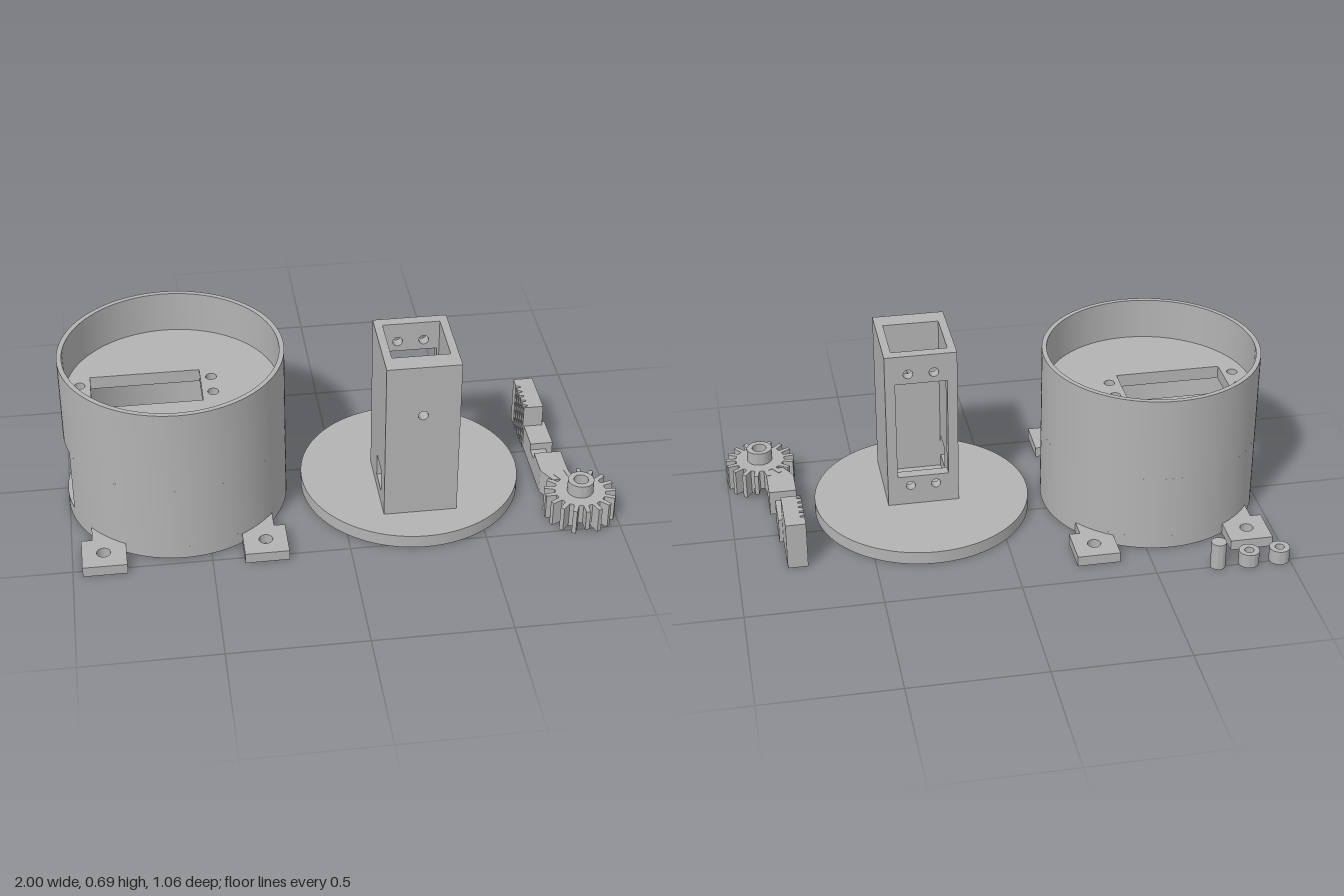
import * as THREE from 'three';
import { toCreasedNormals } from 'three/addons/utils/BufferGeometryUtils.js';

export function createModel() {
  const model = new THREE.Group();
  const grey = new THREE.MeshStandardMaterial({ color: 0xb3b3b3 });
  grey.name = 'plain grey';

  const group = (name, x = 0, z = 0) => {
    const g = new THREE.Group();
    g.name = name;
    g.position.set(x, 0, z);
    model.add(g);
    return g;
  };
  const add = (parent, name, geo) => {
    const m = new THREE.Mesh(geo, grey);
    m.name = name;
    parent.add(m);
    return m;
  };
  const poly = (pts) => new THREE.Shape(pts.map((p) => new THREE.Vector2(p[0], p[1])));
  const rect = (x0, x1, y0, y1) => poly([[x0, y0], [x1, y0], [x1, y1], [x0, y1]]);
  const disc = (r, x = 0, y = 0) => new THREE.Shape().absarc(x, y, r, 0, Math.PI * 2, false);
  const cut = (shape, ...holes) => { shape.holes.push(...holes); return shape; };
  const extrude = (shape, depth) => toCreasedNormals(
    new THREE.ExtrudeGeometry(shape, { depth, bevelEnabled: false, curveSegments: 64 }), 0.5);
  // Plan shape (x, z) raised from y0 to y1
  const slab = (parent, name, shape, y0, y1) =>
    add(parent, name, extrude(shape, y1 - y0).rotateX(Math.PI / 2).translate(0, y1, 0));
  // Upright shape (x, y) spanning z0 to z1
  const plate = (parent, name, shape, z0, z1) =>
    add(parent, name, extrude(shape, z1 - z0).translate(0, 0, z0));

  // Round housing: wall with a side window
  const R = 0.408, r = 0.39;
  const housing = group('housing', -0.595, 0.063);
  slab(housing, 'lowerWall', cut(disc(R), disc(r)), 0, 0.05);
  const a = Math.PI - Math.asin(0.125 / R), b = Math.PI - Math.asin(0.125 / r);
  const openRing = new THREE.Shape();
  openRing.absarc(0, 0, R, -a, a, false);
  openRing.absarc(0, 0, r, b, -b, true);
  openRing.closePath();
  slab(housing, 'windowWall', openRing, 0.05, 0.3);
  slab(housing, 'upperWall', cut(disc(R), disc(r)), 0.3, 0.625);

  // Inner deck with motor opening and screw holes
  const deck = cut(disc(r + 0.005), rect(-0.295, 0.105, -0.103, 0.094));
  for (const x of [-0.335, 0.145]) for (const z of [-0.053, 0.044]) deck.holes.push(disc(0.02, x, z));
  slab(housing, 'deck', deck, 0.415, 0.465);

  // Four mounting lugs, inner edge following the wall
  for (const sx of [-1, 1]) for (const sz of [-1, 1]) {
    const pts = [[0.21, 0.468], [0.37, 0.468], [0.37, 0.315], [0.33, 0.315]];
    const t0 = Math.acos(0.33 / 0.4), t1 = Math.acos(0.21 / 0.4);
    for (let i = 0; i <= 8; i++) {
      const t = t0 + (t1 - t0) * i / 8;
      pts.push([0.4 * Math.cos(t), 0.4 * Math.sin(t)]);
    }
    const lug = poly(pts.map(([x, z]) => [x * sx, z * sz]));
    slab(housing, 'mountingLug', cut(lug, disc(0.025, 0.292 * sx, 0.39 * sz)), 0, 0.04);
  }

  // Turntable disc with a recessed socket underneath
  const table = group('turntable', 0.275, 0.117);
  slab(table, 'discRim', cut(disc(R), disc(0.123)), 0, 0.02);
  const socket = cut(disc(R), disc(0.027));
  for (let i = 0; i < 4; i++) {
    const t = i * Math.PI / 2;
    socket.holes.push(disc(0.009, 0.07 * Math.cos(t), 0.07 * Math.sin(t)));
  }
  slab(table, 'discSocket', socket, 0.02, 0.04);
  slab(table, 'discTop', disc(R), 0.04, 0.05);

  // Hollow square tower
  const tower = group('tower');
  const y0 = 0.05, y1 = 0.685;
  plate(tower, 'frontWall', cut(rect(0.14, 0.41, y0, y1), disc(0.018, 0.275, 0.48)), 0.305, 0.38);
  const back = cut(rect(0.14, 0.41, y0, y1), rect(0.178, 0.372, 0.17, 0.57));
  for (const x of [0.227, 0.323]) for (const y of [0.13, 0.61]) back.holes.push(disc(0.018, x, y));
  plate(tower, 'backWall', back, 0.05, 0.09);
  plate(tower, 'leftWall', rect(0.38, 0.41, y0, y1), 0.09, 0.305);
  // Drawn as (-z, y), then turned to run along z
  const side = cut(rect(-0.305, -0.09, y0, y1), rect(-0.3, -0.2, 0.1, 0.19));
  add(tower, 'rightWall', extrude(side, 0.03).rotateY(Math.PI / 2).translate(0.14, 0, 0));

  // Gear with a slot underneath and a bored hub
  const gear = group('gear', 0.868, 0.397);
  const teeth = 17, outline = [];
  for (let i = 0; i < teeth; i++) {
    for (const [f, rad] of [[0, 0.092], [0.24, 0.094], [0.34, 0.132], [0.66, 0.132], [0.76, 0.094]]) {
      const t = -Math.PI / 2 + (i + f) / teeth * Math.PI * 2;
      outline.push([rad * Math.cos(t), rad * Math.sin(t)]);
    }
  }
  slab(gear, 'slottedFace', poly(outline.filter((p) => p[0] > 0.02)), 0, 0.02);
  slab(gear, 'slottedFace', poly(outline.filter((p) => p[0] < -0.02)), 0, 0.02);
  slab(gear, 'gearCore', poly(outline), 0.02, 0.05);
  slab(gear, 'toothedRing', cut(poly(outline), disc(0.027)), 0.05, 0.1);
  slab(gear, 'hub', cut(disc(0.048), disc(0.027)), 0.1, 0.15);

  // Toothed rack and its stepped arm
  const rack = group('rackArm');
  const profile = [[0.82, -0.03], [0.82, -0.225], [0.745, -0.225]];
  for (let i = 0; i < 5; i++) {
    const z = -0.18 + i * 0.032;
    profile.push([0.745, z], [0.762, z + 0.005], [0.762, z + 0.011], [0.745, z + 0.016]);
  }
  profile.push([0.745, -0.03]);
  slab(rack, 'rack', poly(profile), 0, 0.185);
  slab(rack, 'middleBlock', rect(0.75, 0.835, -0.05, 0.088), 0, 0.098);
  slab(rack, 'neck', rect(0.75, 0.81, 0.088, 0.147), 0, 0.07);
  slab(rack, 'endBlock', poly([[0.75, 0.147], [0.853, 0.147], [0.853, 0.32],
    [0.785, 0.32], [0.75, 0.26]]), 0, 0.098);

  // Loose spacers and pin
  for (const x of [-0.963, -0.847]) {
    slab(group('spacer', x, -0.493), 'spacerRing', cut(disc(0.038), disc(0.017)), 0, 0.055);
  }
  slab(group('pin', -0.73, -0.493), 'pinBody', disc(0.028), 0, 0.105);

  return model;
}
